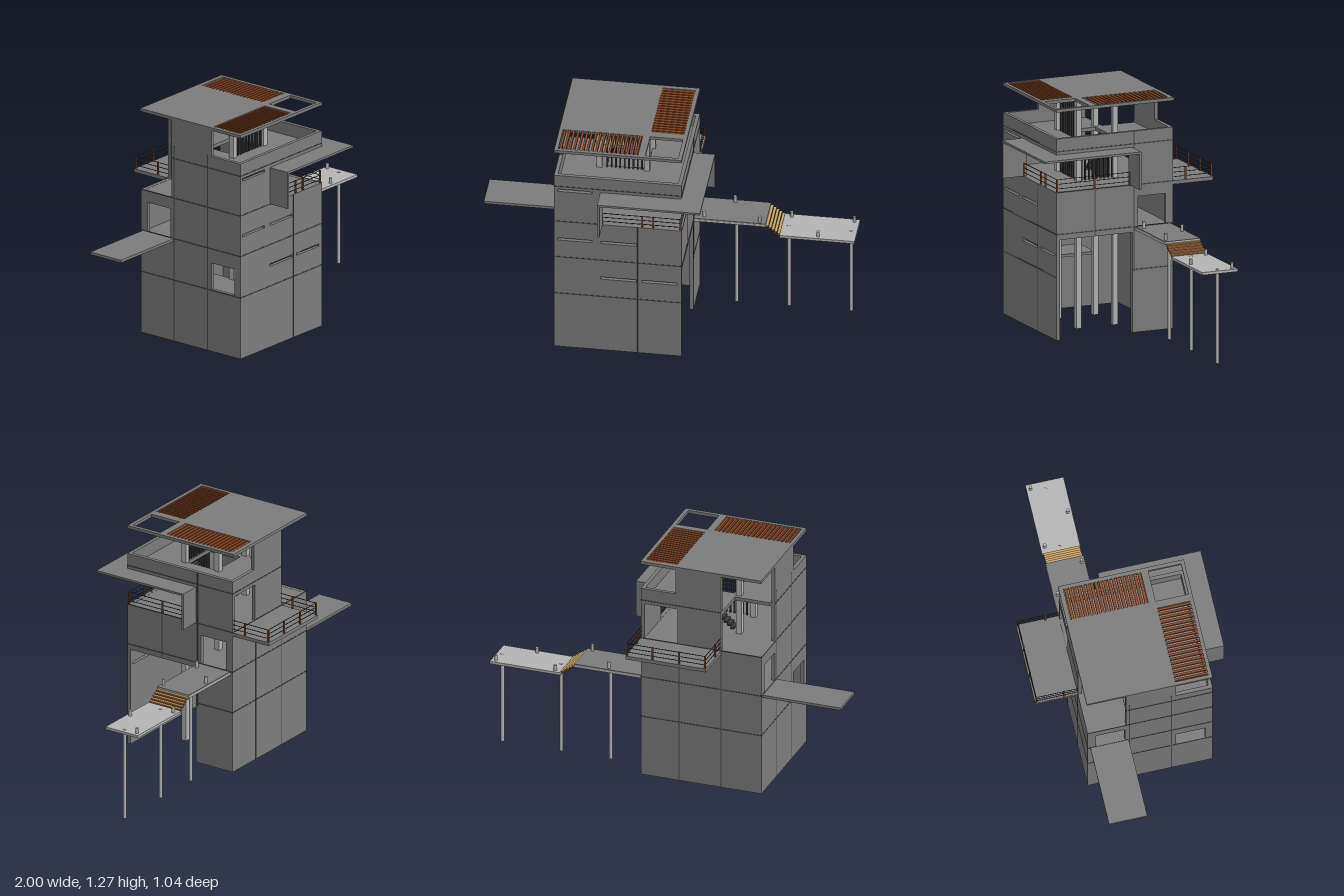
import * as THREE from 'three';

const mat = (name, color) => {
  const m = new THREE.MeshStandardMaterial({ color });
  m.name = name;
  return m;
};

export function createModel() {
  const concrete = mat('concrete', 0x7c7c7c);
  const light = mat('light concrete', 0xb4b4b4);
  const seamGrey = mat('seam grey', 0x484848);
  const wood = mat('brown wood', 0x8b4a25);
  const tan = mat('tan wood', 0xc8a264);
  const metal = mat('dark metal', 0x3c3c3c);
  const model = new THREE.Group();
  model.name = 'towerHouse';

  const add = (name, geo, m) => {
    const mesh = new THREE.Mesh(geo, m);
    mesh.name = name;
    model.add(mesh);
    return mesh;
  };
  // box given by its limits
  const box = (name, m, x0, x1, y0, y1, z0, z1) =>
    add(name, new THREE.BoxGeometry(x1 - x0, y1 - y0, z1 - z0), m)
      .position.set((x0 + x1) / 2, (y0 + y1) / 2, (z0 + z1) / 2);
  const cyl = (name, m, r, x, y0, y1, z) =>
    add(name, new THREE.CylinderGeometry(r, r, y1 - y0, 16), m).position.set(x, (y0 + y1) / 2, z);
  // flat plate with rectangular holes [u0, u1, v0, v1]
  const plate = (points, holes, depth) => {
    const s = new THREE.Shape(points.map(p => new THREE.Vector2(...p)));
    for (const [a, b, c, d] of holes) {
      s.holes.push(new THREE.Path([[a, c], [a, d], [b, d], [b, c]].map(p => new THREE.Vector2(...p))));
    }
    return new THREE.ExtrudeGeometry(s, { depth, bevelEnabled: false });
  };
  const T = 0.02;
  const L = -0.555, R = 0.133, B = -0.285, F = 0.4;
  const wallZ = (name, z, pts, holes) => { add(name, plate(pts, holes, T), concrete).position.z = z; };
  const wallX = (name, x, pts, holes) => {
    const w = add(name, plate(pts, holes, T), concrete);
    w.rotation.y = -Math.PI / 2;
    w.position.x = x;
  };
  const slab = (name, top, t, pts, holes = []) => {
    const s = add(name, plate(pts, holes, t), concrete);
    s.rotation.x = Math.PI / 2;
    s.position.y = top;
  };

  // Outer walls
  wallZ('frontWall', F - T,
    [[L, 0], [R, 0], [R, 0.81], [-0.305, 0.81], [-0.305, 1.015], [R, 1.015], [R, 1.105], [L, 1.105]],
    [[-0.54, -0.35, 1.003, 1.018], [-0.54, -0.35, 0.688, 0.702], [-0.305, -0.11, 0.688, 0.702],
      [-0.305, -0.11, 0.457, 0.471], [-0.08, 0.11, 0.457, 0.471]]);
  wallZ('backWall', B,
    [[L, 0], [R, 0], [R, 1.105], [-0.065, 1.105], [-0.065, 1.25], [-0.325, 1.25], [-0.325, 0.81], [L, 0.81]],
    [[-0.075, 0.113, 0.811, 1.015]]);
  wallX('leftWall', R,
    [[B, 0], [-0.045, 0], [-0.045, 0.55], [F, 0.55], [F, 0.81], [-0.04, 0.81], [-0.04, 1.015],
      [F, 1.015], [F, 1.105], [B, 1.105]],
    [[-0.24, -0.08, 0.58, 0.745]]);
  wallX('rightWall', L + T,
    [[B, 0], [F, 0], [F, 1.105], [0.2, 1.105], [0.2, 1.25], [-0.075, 1.25], [-0.075, 0.81], [B, 0.81]],
    [[-0.24, -0.08, 0.58, 0.745], [0.2, 0.36, 0.35, 0.5]]);

  // Panel seams, thin strips on the wall faces
  const e = 0.0015, h = 0.003;
  for (const y of [0.345, 0.58, 0.81, 1.035]) {
    const high = y > 1;
    if (y !== 0.81) box('frontSeam', seamGrey, L, R, y - h, y + h, F, F + e);
    else box('frontSeam', seamGrey, L, -0.305, y - h, y + h, F, F + e);
    box('backSeam', seamGrey, high ? -0.325 : L, R, y - h, y + h, B - e, B);
    box('rightSeam', seamGrey, L - e, L, y - h, y + h, high ? -0.075 : B, F);
    box('leftSeam', seamGrey, R, R + e, y - h, y + h, B, y < 0.4 ? -0.045 : F);
  }
  box('frontVerticalSeam', seamGrey, -0.109, -0.103, 0, 0.81, F, F + e);
  for (const x of [-0.085, -0.325]) box('backVerticalSeam', seamGrey, x - h, x + h, 0, 0.81, B - e, B);
  for (const z of [-0.055, 0.175]) {
    box('rightVerticalSeam', seamGrey, L - e, L, 0, 1.105, z - h, z + h);
    box('leftVerticalSeam', seamGrey, R, R + e, z > 0 ? 0.55 : 0.33, z > 0 ? 0.81 : 1.105, z - h, z + h);
  }

  // Floors
  const inside = [[L + T, B + T], [R - T, B + T], [R - T, F - T], [L + T, F - T]];
  box('mezzanine', concrete, L + T, -0.34, 0.33, 0.345, -0.04, F - T);
  slab('walkwayFloor', 0.578, 0.028, inside);
  slab('mainFloor', 0.809, 0.02, inside);
  slab('terraceFloor', 1.035, 0.02,
    [[L + T, -0.075], [-0.325, -0.075], [-0.325, B + T], [R - T, B + T], [R - T, F - T], [L + T, F - T]],
    [[-0.305, -0.085, -0.03, 0.165]]);

  // Core columns on a square grid
  for (const x of [-0.34, -0.085]) {
    for (const z of [-0.04, 0.175]) box('coreColumn', light, x - 0.015, x + 0.015, 0, 1.25, z - 0.015, z + 0.015);
  }

  // Slatted screens round the staircase
  for (let i = 0; i < 9; i++) {
    const x = -0.3 + i * 0.0235;
    box('frontScreenSlat', metal, x - 0.004, x + 0.004, 0.81, 1.25, 0.17, 0.18);
    const z = -0.025 + i * 0.0225;
    box('sideScreenSlat', metal, -0.09, -0.08, 0.81, 1.02, z - 0.004, z + 0.004);
  }

  // Inner staircase: two flights meeting at a corner landing
  for (let i = 0; i < 6; i++) {
    const x = -0.3 + i * 0.02, y = 0.825 + i * 0.015;
    box('lowerFlightStep', metal, x, x + 0.022, y - 0.012, y, -0.02, 0.04);
    const z = 0.04 + i * 0.02, y2 = 0.925 + i * 0.018;
    box('upperFlightStep', metal, -0.17, -0.105, y2 - 0.014, y2, z, z + 0.022);
  }
  box('stairLanding', metal, -0.18, -0.105, 0.81, 0.91, -0.02, 0.04);

  // Roof plate with three openings and two slatted pergolas
  slab('roof', 1.267, 0.017, [[L, -0.29], [R, -0.29], [R, F], [L, F]],
    [[-0.535, -0.105, 0.2, 0.38], [-0.065, 0.112, -0.265, 0.16], [-0.065, 0.112, 0.2, 0.38]]);
  for (let i = 0; i < 18; i++) {
    const x = -0.523 + i * 0.024;
    box('frontPergolaSlat', wood, x - 0.006, x + 0.006, 1.251, 1.265, 0.2, 0.38);
    const z = -0.253 + i * 0.0237;
    box('sidePergolaSlat', wood, -0.065, 0.112, 1.251, 1.265, z - 0.008, z + 0.008);
  }

  // Corner canopy with a wall at each end
  slab('canopy', 1.017, 0.012,
    [[-0.305, F - T], [R - T, F - T], [R - T, -0.045], [0.25, -0.045], [0.25, 0.52], [-0.305, 0.52]]);
  box('canopyFrontEnd', concrete, -0.305, -0.293, 0.81, 1.006, F - T, 0.52);
  box('canopySideEnd', concrete, R - T, 0.25, 0.81, 1.006, -0.045, -0.033);

  // Railings: posts and rails along straight runs
  const post = (x, z) => box('railingPost', wood, x - 0.004, x + 0.004, 0.81, 0.882, z - 0.004, z + 0.004);
  const rails = (x0, x1, z0, z1) => {
    for (const y of [0.83, 0.855, 0.88]) {
      box('rail', metal, x0 - 0.0015, x1 + 0.0015, y - 0.0015, y + 0.0015, z0 - 0.0015, z1 + 0.0015);
    }
  };
  rails(-0.3, 0.127, 0.394, 0.394);
  rails(0.127, 0.127, -0.04, 0.394);
  for (const x of [-0.295, -0.08, -0.02, 0.127]) post(x, 0.394);
  for (const z of [0.175, -0.035]) post(0.127, z);

  // Rear balcony
  box('balconyDeck', concrete, -0.325, R, 0.79, 0.81, -0.52, B);
  rails(-0.319, 0.127, -0.512, -0.512);
  for (const x of [-0.319, 0.127]) {
    rails(x, x, -0.512, B);
    for (const z of [-0.512, -0.36]) post(x, z);
  }
  for (const x of [-0.17, -0.02]) post(x, -0.512);

  // Bridges
  box('rightBridge', concrete, -1, L, 0.565, 0.58, -0.27, -0.06);
  box('upperBridge', light, R, 0.52, 0.562, 0.577, -0.27, -0.06);
  box('upperBridgeTop', concrete, R, 0.52, 0.577, 0.58, -0.268, -0.062);
  box('lowerBridge', light, 0.595, 1, 0.5, 0.515, -0.27, -0.06);

  // Bridge steps
  for (let i = 0; i < 5; i++) {
    const x = 0.52 + i * 0.0155, y = 0.569 - i * 0.011;
    box('bridgeTread', tan, x, x + 0.0155, y - 0.003, y, -0.265, -0.065);
    box('bridgeRiser', wood, x, x + 0.013, y - 0.013, y - 0.003, -0.265, -0.065);
  }

  // Bridge supports and bollards
  for (const [x, top] of [[0.35, 0.565], [0.632, 0.517], [0.967, 0.517]]) cyl('bridgeColumn', light, 0.01, x, 0, top, -0.163);
  for (const [x, z] of [[0.185, -0.088], [0.33, -0.247], [0.485, -0.08]]) cyl('upperBollard', light, 0.009, x, 0.575, 0.617, z);
  for (const [x, z] of [[0.635, -0.247], [0.8, -0.083], [0.973, -0.247]]) cyl('lowerBollard', light, 0.009, x, 0.51, 0.546, z);
  return model;
}
